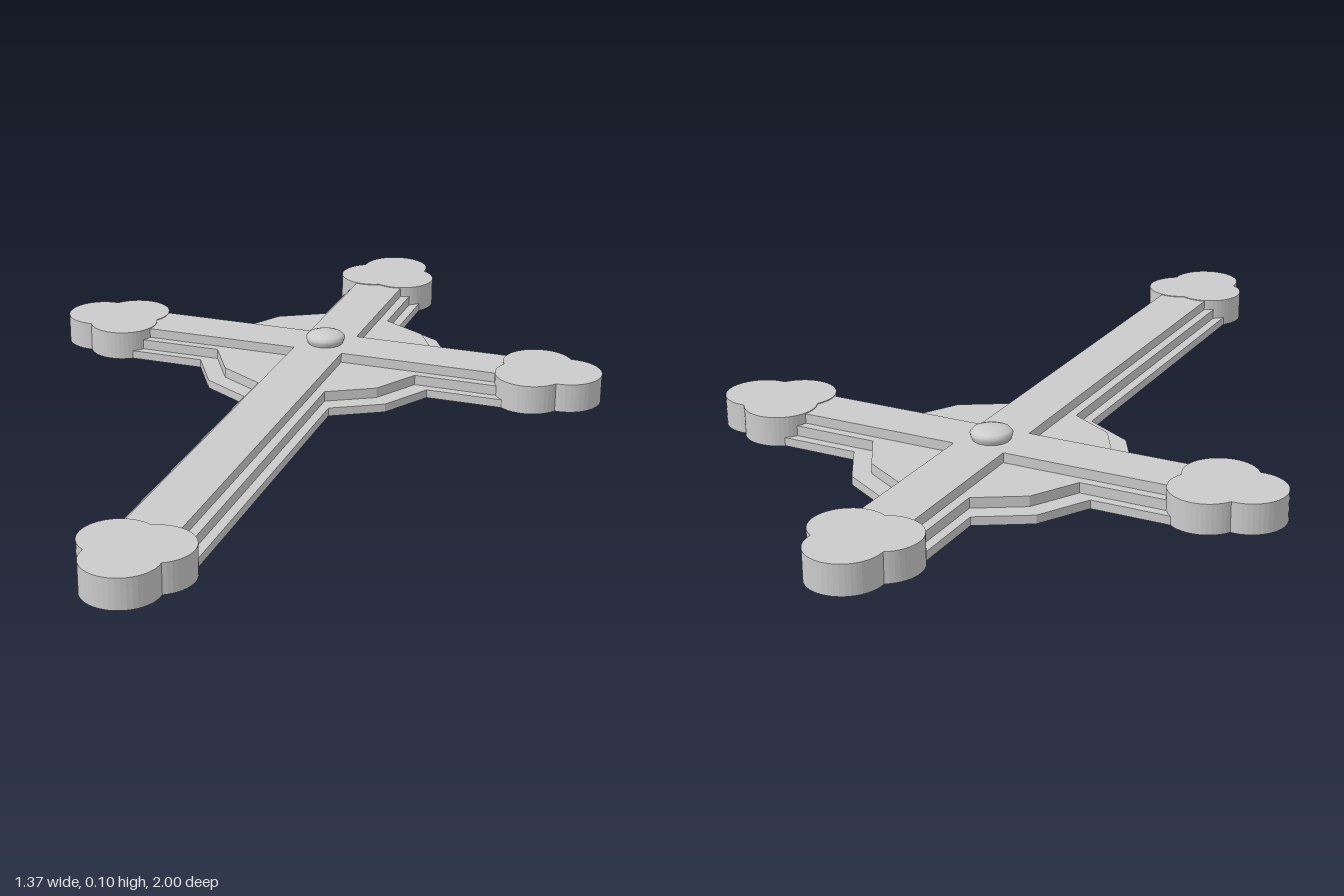
import * as THREE from 'three';

const CENTRE_Z = -0.315;      // where the arms cross
const SHORT = 0.523, LONG = 1.153; // crossing to middle of each trefoil

const material = new THREE.MeshStandardMaterial({ color: 0xcccccc, flatShading: true });
const smooth = new THREE.MeshStandardMaterial({ color: 0xcccccc });

// Flat plate lying on the ground plane: shape y points to -z
function plate(name, shape, bottom, top) {
  const geometry = new THREE.ExtrudeGeometry(shape, {
    depth: top - bottom, bevelEnabled: false, curveSegments: 12,
  });
  geometry.rotateX(-Math.PI / 2);
  geometry.translate(0, bottom, 0);
  const mesh = new THREE.Mesh(geometry, material);
  mesh.name = name;
  return mesh;
}

// Cross outline of half width w, optionally merged with a twelve-sided disc of radius r
function crossShape(w, r) {
  const inner = [[w, w]];
  if (r) {
    const edge = (r * Math.cos(Math.PI / 12) - w / 2) / Math.cos(Math.PI / 6);
    const corner = r * Math.SQRT1_2;
    inner.splice(0, 1, [edge, w], [corner, corner], [w, edge]);
  }
  const points = [];
  for (const [sx, sy] of [[1, 1], [-1, 1], [-1, -1], [1, -1]]) {
    const reach = sy > 0 ? SHORT : LONG;
    const quarter = [[SHORT, w], ...inner, [w, reach]];
    if (sx * sy < 0) quarter.reverse();
    points.push(...quarter.map(([x, y]) => new THREE.Vector2(x * sx, y * sy)));
  }
  return new THREE.Shape(points);
}

// Outline of three merged circles, the tip pointing to +y
function trefoilShape() {
  const r = 0.083, rad = THREE.MathUtils.degToRad;
  const shape = new THREE.Shape();
  shape.absarc(0.04, 0, r, rad(-118.8), rad(59.1));
  shape.absarc(0, 0.079, r, rad(-5.4), rad(185.4));
  shape.absarc(-0.04, 0, r, rad(120.9), rad(298.8));
  return shape;
}

export function createModel() {
  const model = new THREE.Group();
  model.name = 'cross';
  const body = new THREE.Group();
  body.name = 'crossBody';
  body.position.z = CENTRE_Z;
  model.add(body);

  // Three stepped layers
  body.add(plate('baseLayer', crossShape(0.105, 0.314), 0, 0.02));
  body.add(plate('middleLayer', crossShape(0.083, 0.27), 0.02, 0.044));
  body.add(plate('topLayer', crossShape(0.061), 0.044, 0.067));

  // Trefoil ends
  const ends = [
    ['backTrefoil', 0, SHORT], ['leftTrefoil', -Math.PI / 2, SHORT],
    ['frontTrefoil', Math.PI, LONG], ['rightTrefoil', Math.PI / 2, SHORT],
  ];
  for (const [name, angle, reach] of ends) {
    const trefoil = plate(name, trefoilShape(), 0, 0.069);
    trefoil.rotation.y = angle;
    trefoil.position.set(-Math.sin(angle) * reach, 0, -Math.cos(angle) * reach);
    body.add(trefoil);
  }

  // Domed stud at the crossing
  const profile = [[0.04, 0.06], [0.046, 0.074], [0.048, 0.082], [0.042, 0.089], [0.028, 0.094], [0.014, 0.096], [0, 0.097]];
  const stud = new THREE.Mesh(
    new THREE.LatheGeometry(profile.map(([x, y]) => new THREE.Vector2(x, y)), 24), smooth);
  stud.name = 'centreStud';
  body.add(stud);

  return model;
}
